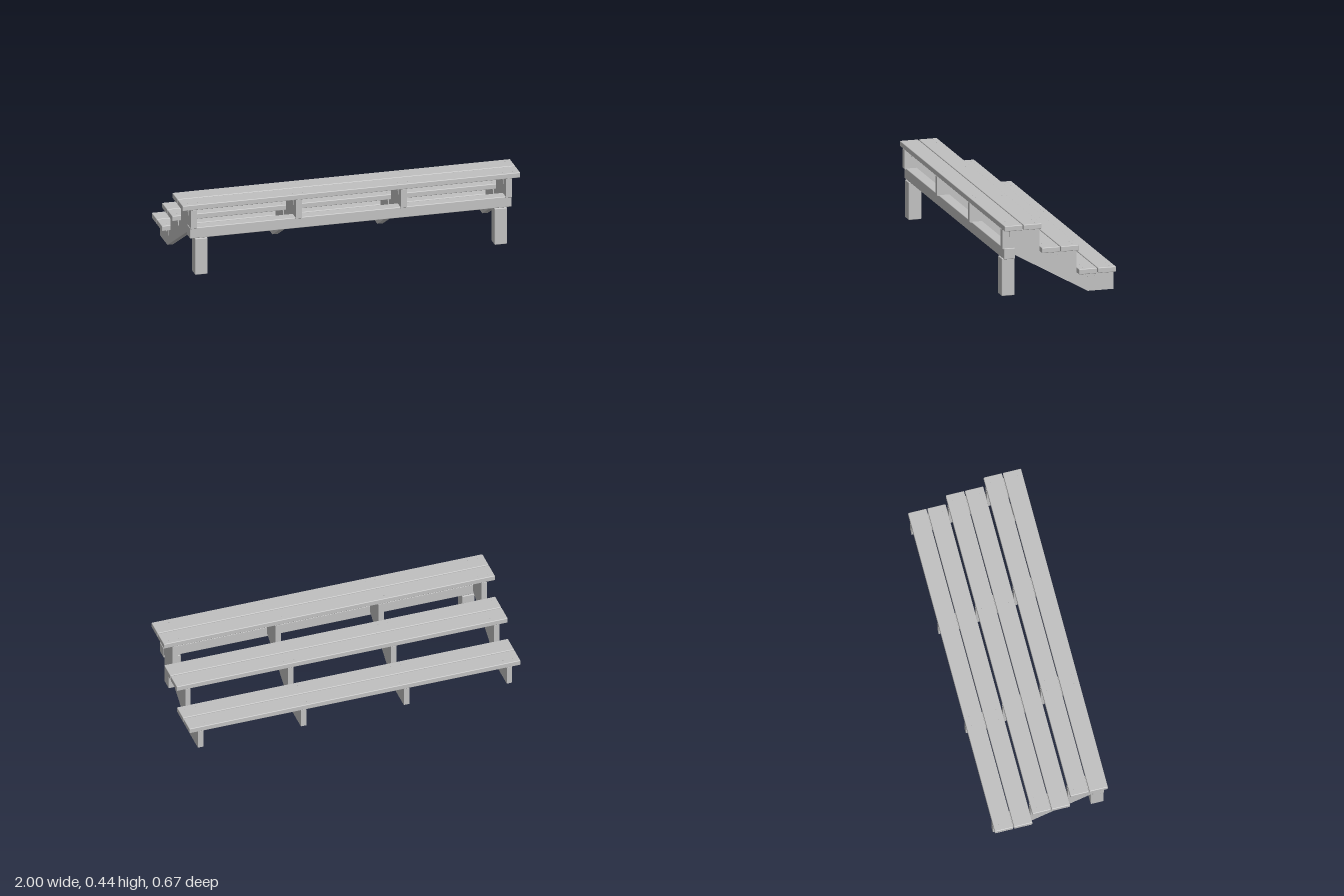
import * as THREE from 'three';
import { RoundedBoxGeometry } from 'three/addons/geometries/RoundedBoxGeometry.js';

export function createModel() {
  const group = new THREE.Group();
  const grey = new THREE.MeshStandardMaterial({ color: 0xc0c0c0 });
  grey.name = 'plain grey';

  const add = (name, geometry, x = 0, y = 0, z = 0) => {
    const mesh = new THREE.Mesh(geometry, grey);
    mesh.name = name;
    mesh.position.set(x, y, z);
    group.add(mesh);
    return mesh;
  };
  // Box given by its lower and upper corners, with optional eased edges
  const block = (name, [x0, y0, z0], [x1, y1, z1], r = 0) => {
    const size = [x1 - x0, y1 - y0, z1 - z0];
    const geometry = r ? new RoundedBoxGeometry(...size, 2, r) : new THREE.BoxGeometry(...size);
    return add(name, geometry, (x0 + x1) / 2, (y0 + y1) / 2, (z0 + z1) / 2);
  };

  const stringerX = [-0.933, -0.311, 0.311, 0.933];
  const thick = 0.033;
  // Front edge and underside height of the planks on each tier
  const tiers = [
    { z: 0.334, y: 0.402 },
    { z: 0.111, y: 0.257 },
    { z: -0.111, y: 0.113 },
  ];

  // Stepped stringers, cut diagonally underneath
  const profile = new THREE.Shape([
    [0.333, 0.401], [0.333, 0.289], [-0.178, 0], [-0.332, 0], [-0.332, 0.113],
    [-0.111, 0.113], [-0.111, 0.257], [0.112, 0.257], [0.112, 0.401],
  ].map(([z, y]) => new THREE.Vector2(-z, y)));
  const stringer = new THREE.ExtrudeGeometry(profile, { depth: thick, bevelEnabled: false });
  stringer.translate(0, 0, -thick / 2).rotateY(Math.PI / 2);
  for (const x of stringerX) add('stringer', stringer, x);

  const screw = new THREE.CylinderGeometry(0.003, 0.003, 0.002, 10);
  const bolt = new THREE.CylinderGeometry(0.004, 0.004, 0.003, 8).rotateZ(Math.PI / 2);

  for (const { z, y } of tiers) {
    // Two planks per tier with a narrow gap
    for (const front of [z, z - 0.113]) {
      block('plank', [-1, y, front - 0.108], [1, y + 0.032, front], 0.004);
    }

    for (const x of stringerX) {
      // Screw heads on the plank tops
      for (const dz of [0.031, 0.19]) {
        for (const dx of [-0.03, 0.03]) add('screw', screw, x + dx, y + 0.0325, z - dz);
      }
      // Angle brackets on both faces of the stringer
      for (const side of [-1, 1]) {
        const face = x + side * thick / 2;
        const span = (a, b) => [face + side * a, face + side * b].sort((p, q) => p - q);
        const [p0, p1] = span(0, 0.004);
        const [f0, f1] = span(0, 0.03);
        const back = z - 0.133, front = z - 0.044;
        block('bracketPlate', [p0, y - 0.047, back], [p1, y - 0.004, front]);
        block('bracketFlange', [f0, y - 0.008, back], [f1, y - 0.003, front]);
        for (const dz of [0.066, 0.111]) add('bolt', bolt, face + side * 0.005, y - 0.027, z - dz);
      }
    }
  }

  // Cross beam carrying the high end
  block('beam', [-0.953, 0.225, 0.257], [0.953, 0.29, 0.323], 0.004);

  // Support posts
  for (const side of [-1, 1]) {
    const xs = [side * 0.85, side * 0.924].sort((a, b) => a - b);
    block('post', [xs[0], 0.002, 0.252], [xs[1], 0.224, 0.328], 0.004);
  }

  return group;
}
